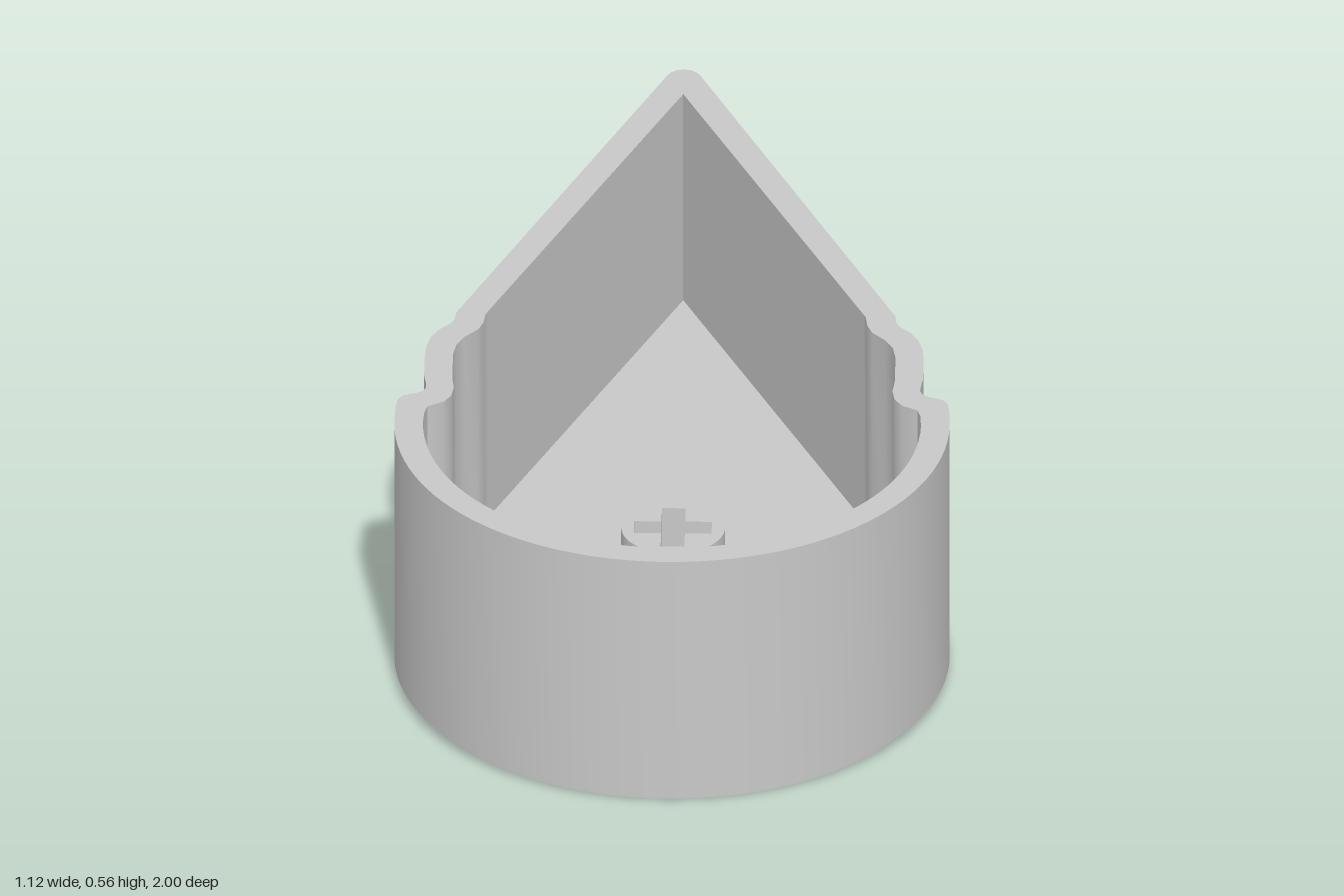
import * as THREE from 'three';
import { toCreasedNormals } from 'three/addons/utils/BufferGeometryUtils.js';

const HEIGHT = 0.563, CHAMFER = 0.0225, FLOOR = 0.083, POST_TOP = 0.242;

// Closed teardrop from the +x half (tip to shoulder) plus a round front; pairs are x, z
function teardrop(half, radius, centreZ) {
  const side = half.map(([x, z]) => new THREE.Vector2(x, -z));
  const n = 28;
  for (let i = 0; i <= n; i++) {
    const a = (i / n) * Math.PI / 2;
    side.push(new THREE.Vector2(radius * Math.cos(a), -centreZ - radius * Math.sin(a)));
  }
  side[side.length - 1].x = 0;
  const other = side.slice(1, -1).reverse().map(p => new THREE.Vector2(-p.x, p.y));
  return [...side, ...other].reverse(); // counter-clockwise
}

// Moves every point of a counter-clockwise outline inwards
function inset(points, d) {
  const n = points.length;
  return points.map((p, i) => {
    const a = p.clone().sub(points[(i + n - 1) % n]).normalize();
    const b = points[(i + 1) % n].clone().sub(p).normalize();
    const normal = new THREE.Vector2(-a.y - b.y, a.x + b.x).normalize();
    return p.clone().addScaledVector(normal, d);
  });
}

// Upright prism between two heights, with optional holes
function prism(name, material, outline, holes, y0, y1) {
  const shape = new THREE.Shape(outline);
  holes.forEach(h => shape.holes.push(new THREE.Path(h)));
  const flat = new THREE.ExtrudeGeometry(shape, { depth: y1 - y0, bevelEnabled: false });
  flat.rotateX(-Math.PI / 2).translate(0, y0, 0);
  const mesh = new THREE.Mesh(toCreasedNormals(flat, 0.7), material);
  mesh.name = name;
  return mesh;
}

// Two crossed diagonal grooves, each with two short ticks on its front arm
function grooveOutline() {
  const w = 0.016, back = 0.227, front = 0.489;
  const edge = [[w, w]];
  for (const [s, reach] of [[0.175, 0.112], [0.375, 0.063]]) {
    edge.push([s - w, w], [s - w, reach], [s + w, reach], [s + w, w]);
  }
  edge.push([front, w]);
  const lower = edge.map(([s, t]) => [s, -t]);
  const swap = list => list.map(([s, t]) => [t, s]);
  const loop = [
    ...lower, ...edge.slice().reverse(),
    ...swap(edge).slice(1), ...swap(lower).reverse(),
    [-back, w], [-back, -w], [-w, -w], [-w, -back], [w, -back],
  ];
  const k = Math.SQRT1_2;
  return loop.map(([s, t]) => new THREE.Vector2((s - t) * k, 0.363 - (s + t) * k));
}

export function createModel() {
  const model = new THREE.Group();
  model.name = 'teardropTray';
  const grey = new THREE.MeshStandardMaterial({ color: 0xc8c8c8 });
  grey.name = 'grey';

  const outer = teardrop([
    [0, -1], [0.014, -0.997], [0.026, -0.988], [0.034, -0.974], [0.0382, -0.964],
    [0.4395, -0.015], [0.4437, -0.005], [0.446, 0.02], [0.453, 0.037], [0.476, 0.063],
    [0.492, 0.092], [0.501, 0.13], [0.504, 0.17], [0.504, 0.25], [0.5, 0.28],
    [0.499, 0.298], [0.504, 0.312], [0.516, 0.321], [0.535, 0.328], [0.548, 0.336],
    [0.556, 0.35], [0.5595, 0.38],
  ], 0.561, 0.439);
  const inner = teardrop([
    [0, -0.9], [0.3798, -0.01], [0.384, 0], [0.388, 0.035], [0.398, 0.062], [0.425, 0.093],
    [0.441, 0.125], [0.447, 0.165], [0.447, 0.26], [0.443, 0.3], [0.448, 0.333],
    [0.463, 0.357], [0.495, 0.376], [0.501, 0.4],
  ], 0.503, 0.439);

  // Wall and floor
  model.add(prism('wall', grey, outer, [inner], CHAMFER, HEIGHT));
  model.add(prism('floor', grey, inner, [], CHAMFER, FLOOR));

  // Stepped foot with the grooves cut into its underside
  const groove = grooveOutline();
  const steps = 3;
  for (let i = 0; i < steps; i++) {
    const foot = inset(outer, 0.021 - i * 0.007);
    model.add(prism('footStep' + (i + 1), grey, foot, [groove],
      CHAMFER * i / steps, CHAMFER * (i + 1) / steps));
  }

  // Round post with a cross-shaped socket
  const circle = new THREE.Shape().absarc(0, -0.3, 0.105, 0, Math.PI * 2).getPoints(48).slice(0, -1);
  const a = 0.078, b = 0.024;
  const cross = [
    [a, -b], [a, b], [b, b], [b, a], [-b, a], [-b, b],
    [-a, b], [-a, -b], [-b, -b], [-b, -a], [b, -a], [b, -b],
  ].map(([x, y]) => new THREE.Vector2(x, y - 0.3));
  model.add(prism('post', grey, circle, [cross], FLOOR, POST_TOP));

  return model;
}
